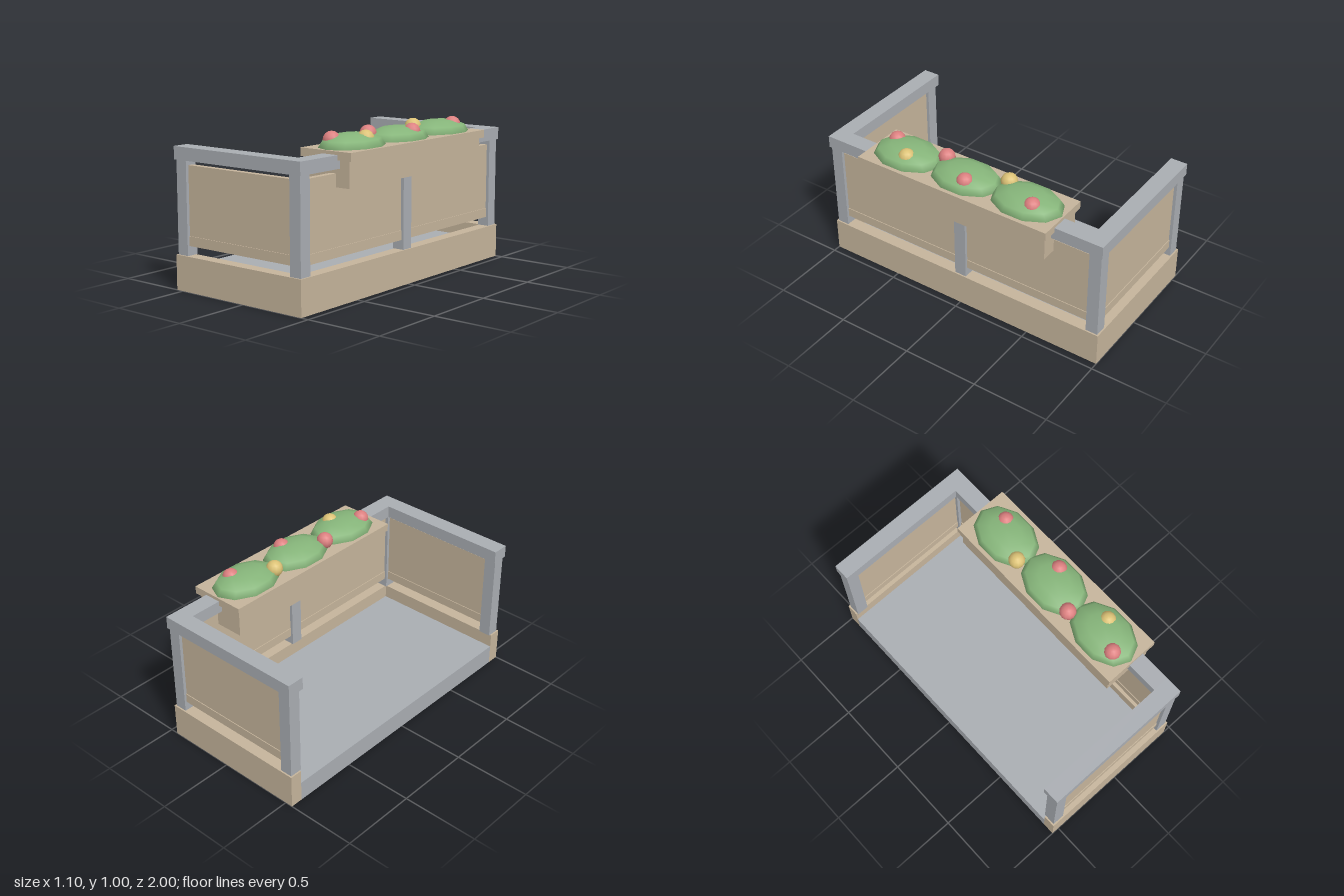
import * as THREE from 'three';

const mat = (name, color) => {
  const m = new THREE.MeshStandardMaterial({ color });
  m.name = name;
  return m;
};

export function createModel() {
  const root = new THREE.Group();
  root.name = 'balcony';
  const stone = mat('tan cladding', 0xc5b49b);
  const metal = mat('grey frame', 0xa9adb2);
  const leaf = mat('leaf green', 0x86b57a);
  const red = mat('blossom red', 0xdc8080);
  const yellow = mat('blossom yellow', 0xdcc276);

  // Box given by its lower and upper corners
  const box = (name, material, x0, x1, y0, y1, z0, z1) => {
    const mesh = new THREE.Mesh(new THREE.BoxGeometry(x1 - x0, y1 - y0, z1 - z0), material);
    mesh.position.set((x0 + x1) / 2, (y0 + y1) / 2, (z0 + z1) / 2);
    mesh.name = name;
    root.add(mesh);
  };

  // Floor slab and long side
  box('floorSlab', metal, -0.55, 0.37, 0, 0.13, -0.92, 0.92);
  box('longFascia', stone, 0.37, 0.45, 0, 0.22, -0.92, 0.92);
  box('longHandrail', metal, 0.34, 0.45, 0.8, 0.88, -0.89, 0.89);
  box('middlePost', metal, 0.36, 0.44, 0.22, 0.8, -0.04, 0.04);

  // Both short ends, mirrored in z
  for (const s of [-1, 1]) {
    const endBox = (name, material, x0, x1, y0, y1, a, b) =>
      box(name, material, x0, x1, y0, y1, Math.min(s * a, s * b), Math.max(s * a, s * b));
    endBox('endFascia', stone, -0.55, 0.45, 0, 0.22, 0.92, 1);
    endBox('endHandrail', metal, -0.55, 0.45, 0.8, 0.88, 0.89, 1);
    endBox('outerPost', metal, 0.36, 0.44, 0.22, 0.8, 0.91, 0.99);
    endBox('innerPost', metal, -0.54, -0.46, 0.22, 0.8, 0.91, 0.99);
    // Infill panels with a slightly thicker bottom bar
    endBox('endPanel', stone, -0.46, 0.36, 0.34, 0.77, 0.93, 0.97);
    endBox('endPanelBar', stone, -0.46, 0.36, 0.28, 0.34, 0.925, 0.975);
    endBox('longPanel', stone, 0.38, 0.42, 0.34, 0.77, 0.04, 0.91);
    endBox('longPanelBar', stone, 0.375, 0.425, 0.28, 0.34, 0.04, 0.91);
  }

  // Planter hung over the handrail
  box('planterBox', stone, 0.19, 0.52, 0.69, 0.85, -0.66, 0.66);
  box('planterRim', stone, 0.17, 0.545, 0.85, 0.9, -0.68, 0.68);

  // Leafy mounds
  const moundGeometry = new THREE.SphereGeometry(1, 10, 6).rotateY(Math.PI / 2);
  for (const z of [-0.435, 0, 0.435]) {
    const mound = new THREE.Mesh(moundGeometry, leaf);
    mound.scale.set(0.171, 0.082, 0.237);
    mound.position.set(0.357, 0.9, z);
    mound.name = 'leafMound';
    root.add(mound);
  }

  // Blossoms
  const blossomGeometry = new THREE.SphereGeometry(0.053, 12, 8);
  for (const [x, z, material] of [
    [0.415, -0.505, red], [0.285, -0.26, yellow], [0.435, -0.045, red],
    [0.285, 0.195, red], [0.425, 0.395, yellow], [0.305, 0.56, red],
  ]) {
    const blossom = new THREE.Mesh(blossomGeometry, material);
    blossom.position.set(x, 0.943, z);
    blossom.name = 'blossom';
    root.add(blossom);
  }
  return root;
}
